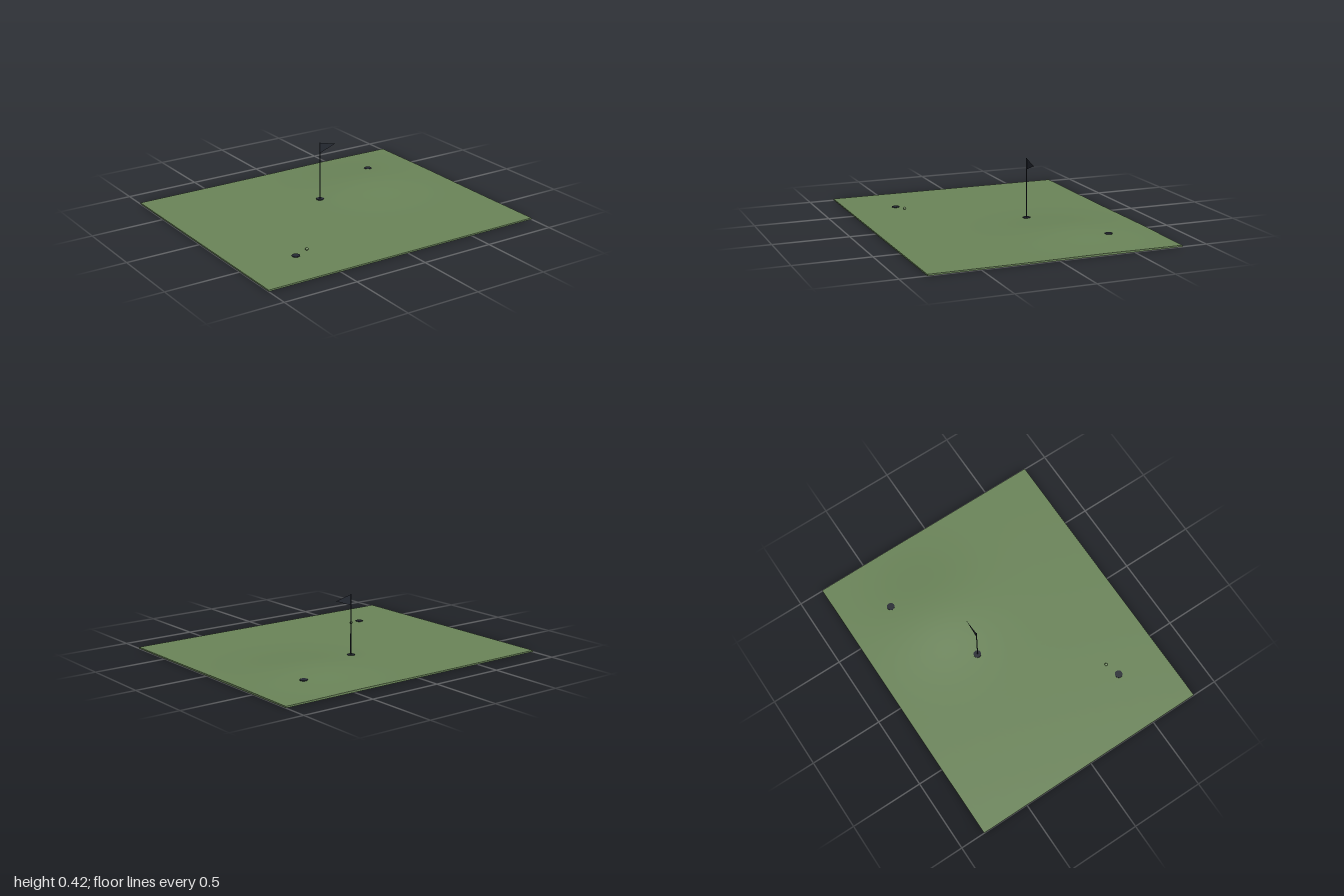
import * as THREE from 'three';

const green = new THREE.MeshStandardMaterial({ color: 0x6b8559 });
green.name = 'grass green';
const dark = new THREE.MeshStandardMaterial({ color: 0x262a33, side: THREE.DoubleSide });
dark.name = 'charcoal';

// Ground height: flat lawn with one gentle mound
const groundY = (x, z) =>
  0.01 + 0.029 * Math.exp(-((x - 0.45) ** 2 + (z + 0.3) ** 2) / (2 * 0.26 ** 2));

export function createModel() {
  const model = new THREE.Group();
  const add = (name, geometry, material, x = 0, y = 0, z = 0) => {
    const mesh = new THREE.Mesh(geometry, material);
    mesh.name = name;
    mesh.position.set(x, y, z);
    model.add(mesh);
  };

  // Thin slab whose upper vertices follow the mound
  const lawn = new THREE.BoxGeometry(2, 0.01, 1.66, 50, 1, 42);
  const p = lawn.attributes.position;
  for (let i = 0; i < p.count; i++) {
    p.setY(i, p.getY(i) > 0 ? groundY(p.getX(i), p.getZ(i)) : 0);
  }
  lawn.computeVertexNormals();
  add('lawn', lawn, green);

  // Cups: flat dark discs on the grass
  const cup = new THREE.CylinderGeometry(0.026, 0.026, 0.005, 12);
  for (const [x, z] of [[0.03, -0.205], [0.635, -0.507], [-0.607, 0.5]]) {
    add('cup', cup, dark, x, groundY(x, z) + 0.0015, z);
  }

  // Flagstick and pennant
  add('flagstick', new THREE.CylinderGeometry(0.0035, 0.0035, 0.408, 8), dark, 0.03, 0.216, -0.203);
  const pennant = new THREE.Shape([
    new THREE.Vector2(0, 0.345),
    new THREE.Vector2(0.12, 0.389),
    new THREE.Vector2(0, 0.418),
  ]);
  add('pennant', new THREE.ShapeGeometry(pennant), dark, 0.03, 0, -0.203);

  // Ball resting on the grass
  add('ball', new THREE.SphereGeometry(0.01, 16, 12), green, -0.507, 0.021, 0.467);

  return model;
}
